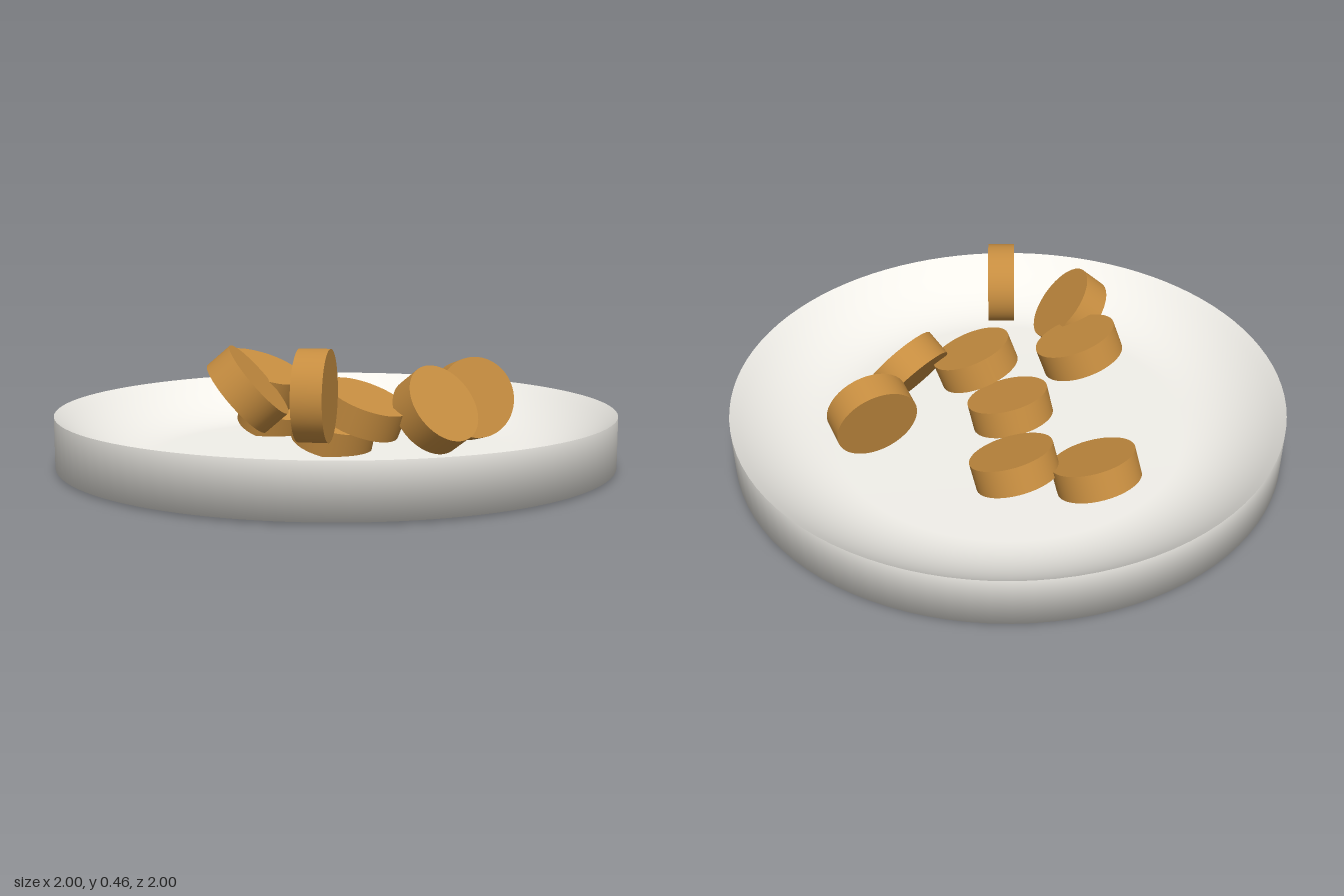
import * as THREE from 'three';

const SEG = 96;

function lathe(points, material, name) {
  const profile = points.map(([r, y]) => new THREE.Vector2(r, y));
  const mesh = new THREE.Mesh(new THREE.LatheGeometry(profile, SEG), material);
  mesh.name = name;
  return mesh;
}

export function createModel() {
  const model = new THREE.Group();
  model.name = 'plateOfRoundPieces';
  const china = new THREE.MeshStandardMaterial({ color: 0xf2f0ea });
  const golden = new THREE.MeshStandardMaterial({ color: 0xc68d40 });

  // Plate: flat base, smooth outer wall and a dished top
  const plate = new THREE.Group();
  plate.name = 'plate';
  plate.add(
    lathe([[0, 0.01], [0.55, 0.01]], china, 'plateBase'),
    lathe([[0.55, 0.01], [1, 0.01], [1, 0.19]], china, 'plateOuterWall'),
  );
  const dish = [[1, 0.19]];
  for (let i = 1; i <= 10; i++) {
    const t = 1 - i / 10;
    dish.push([0.65 + 0.35 * t, 0.03 + 0.16 * t * t]);
  }
  dish.push([0, 0.03]);
  plate.add(lathe(dish, china, 'plateDish'));
  model.add(plate);

  // Round pieces: centre and axis direction of each short cylinder
  const pieces = [
    [[0.145, 0.104, -0.455], [-0.08, 0.93, 0.36]],
    [[0.275, 0.104, -0.205], [-0.08, 0.93, 0.36]],
    [[0, 0.106, -0.01], [-0.04, 0.95, 0.3]],
    [[-0.223, 0.3, -0.165], [0.08, 0.93, 0.36]],
    [[-0.062, 0.208, 0.185], [0.08, 0.93, 0.37]],
    [[-0.435, 0.3, 0], [0.48, 0.65, 0.58]],
    [[-0.445, 0.31, 0.32], [0.55, 0, 0.84]],
    [[0.12, 0.205, 0.365], [-0.07, 0.57, 0.82]],
    [[0.415, 0.205, 0.3], [-0.48, 0.25, 0.84]],
  ];
  const disc = new THREE.CylinderGeometry(0.15, 0.15, 0.1, 48);
  const up = new THREE.Vector3(0, 1, 0);
  pieces.forEach(([centre, axis], i) => {
    const piece = new THREE.Mesh(disc, golden);
    piece.name = `roundPiece${i + 1}`;
    piece.position.set(...centre);
    piece.quaternion.setFromUnitVectors(up, new THREE.Vector3(...axis).normalize());
    model.add(piece);
  });
  return model;
}
